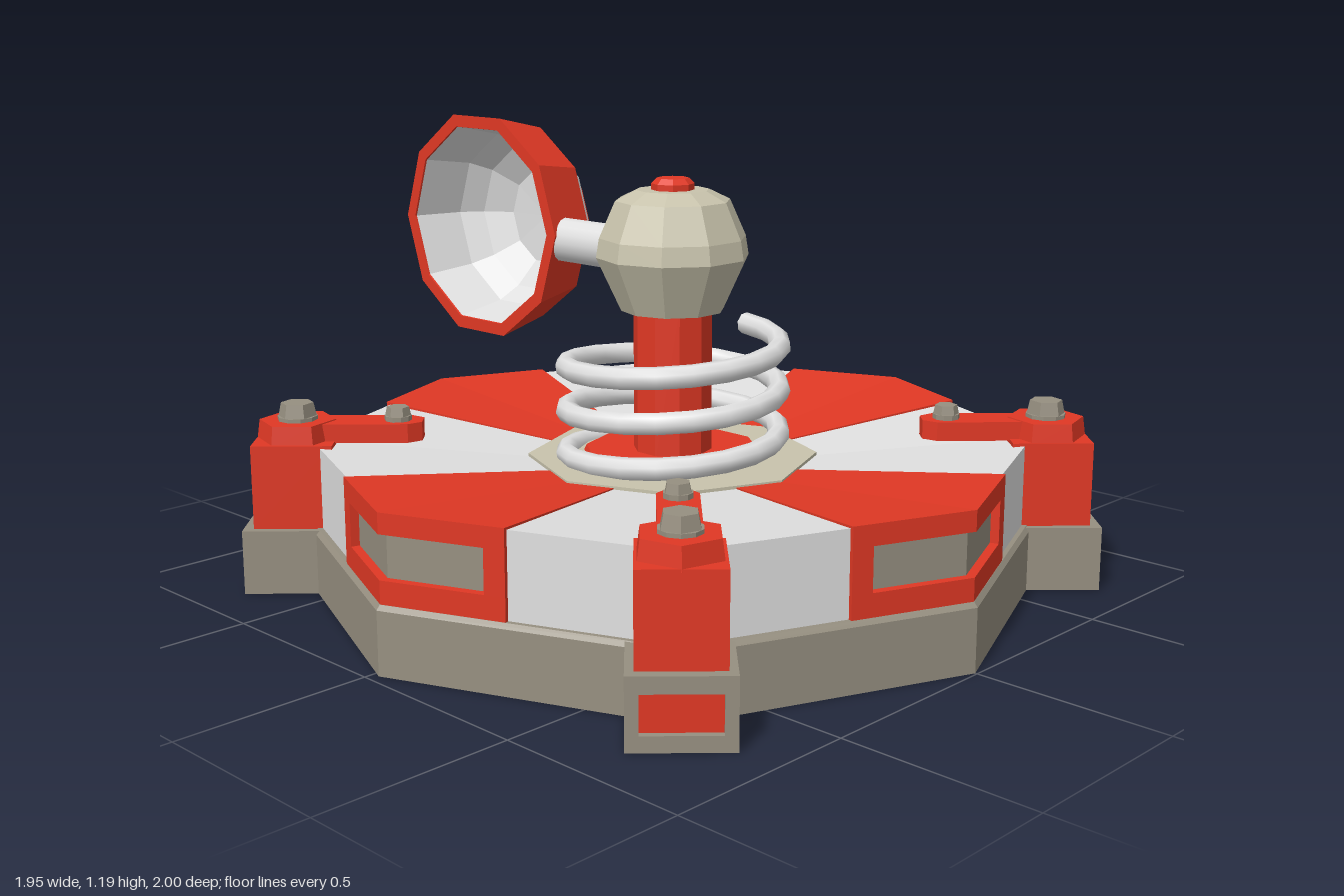
import * as THREE from 'three';

const mat = (name, hex) => {
  const m = new THREE.MeshStandardMaterial({ color: hex });
  m.name = name;
  return m;
};

// Faceted normals
const flat = (g) => {
  const f = g.index ? g.toNonIndexed() : g;
  f.computeVertexNormals();
  return f;
};

const deg = THREE.MathUtils.degToRad;

// Radius of a unit octagon (corner at 0 degrees) in direction a
const octagon = (a) => {
  const local = (((a % 45) + 45) % 45) - 22.5;
  return Math.cos(deg(22.5)) / Math.cos(deg(local));
};

// Sweep a counter-clockwise (radius, height) profile around the octagon
function sweep(angles, profile, capped = true) {
  const pos = [];
  const at = (a, [r, y]) => {
    const k = r * octagon(a);
    return [k * Math.sin(deg(a)), y, k * Math.cos(deg(a))];
  };
  for (let j = 0; j < angles.length - 1; j++) {
    for (let i = 0; i < profile.length; i++) {
      const p = profile[i], q = profile[(i + 1) % profile.length];
      const a = at(angles[j], p), b = at(angles[j + 1], p);
      const c = at(angles[j + 1], q), d = at(angles[j], q);
      pos.push(...a, ...b, ...c, ...a, ...c, ...d);
    }
  }
  if (capped) {
    const first = angles[0], last = angles[angles.length - 1];
    const tris = THREE.ShapeUtils.triangulateShape(profile.map(([x, y]) => new THREE.Vector2(x, y)), []);
    for (const [a, b, c] of tris) {
      pos.push(...at(first, profile[a]), ...at(first, profile[b]), ...at(first, profile[c]));
      pos.push(...at(last, profile[a]), ...at(last, profile[c]), ...at(last, profile[b]));
    }
  }
  const g = new THREE.BufferGeometry();
  g.setAttribute('position', new THREE.Float32BufferAttribute(pos, 3));
  g.computeVertexNormals();
  return g;
}

const lathe = (pts, sides) =>
  flat(new THREE.LatheGeometry(pts.map(([r, y]) => new THREE.Vector2(r, y)), sides));

// Upright prism from y0 to y1
const prism = (rTop, rBottom, y0, y1, sides) =>
  flat(new THREE.CylinderGeometry(rTop, rBottom, y1 - y0, sides).translate(0, (y0 + y1) / 2, 0));

class Coil extends THREE.Curve {
  getPoint(t, target = new THREE.Vector3()) {
    const a = (1 - t) * 5 * Math.PI * 2;
    return target.set(0.28 * Math.cos(a), 0.075 + 0.58 * t, 0.28 * Math.sin(a));
  }
}

export function createModel() {
  const red = mat('red', 0xe03824);
  const white = mat('white', 0xe0e0e0);
  const beige = mat('beige', 0xc8c3ac);
  const grey = mat('grey', 0x968f80);

  const model = new THREE.Group();
  const body = new THREE.Group();
  body.name = 'body';
  body.position.z = 0.02;
  model.add(body);

  const add = (parent, name, geometry, material, x = 0, y = 0, z = 0) => {
    const mesh = new THREE.Mesh(geometry, material);
    mesh.name = name;
    mesh.position.set(x, y, z);
    parent.add(mesh);
    return mesh;
  };

  // Hollow octagonal base ring with a small bevel
  const round = Array.from({ length: 9 }, (_, i) => i * 45);
  add(body, 'baseRing', sweep(round,
    [[0.93, 0], [0.975, 0], [0.975, 0.16], [0.965, 0.172], [0.92, 0.172]], false), grey);

  // Dished top in alternating white and red sectors
  const whitePanel = sweep([19.4, 45, 70.6],
    [[0.92, 0.165], [0.952, 0.165], [0.952, 0.385], [0.3, 0.33], [0.3, 0.31], [0.92, 0.362]]);
  const wide = [-19.4, 0, 19.4];
  const redTop = sweep(wide,
    [[0.915, 0.34], [0.964, 0.34], [0.964, 0.392], [0.3, 0.333], [0.3, 0.308], [0.915, 0.355]]);
  const redSill = sweep(wide, [[0.915, 0.165], [0.964, 0.165], [0.964, 0.23], [0.915, 0.23]]);
  const jambProfile = [[0.915, 0.23], [0.964, 0.23], [0.964, 0.34], [0.915, 0.34]];
  const jambs = [sweep([-19.4, -16], jambProfile), sweep([16, 19.4], jambProfile)];
  const pane = sweep([-16, 0, 16], [[0.928, 0.23], [0.94, 0.23], [0.94, 0.34], [0.928, 0.34]]);

  // Corner parts, built along +z and turned to the diagonals
  const bracketShape = new THREE.Shape();
  bracketShape.moveTo(-0.12, 0).lineTo(0.12, 0).lineTo(0.12, 0.17).lineTo(-0.12, 0.17).closePath();
  const opening = new THREE.Path();
  opening.moveTo(-0.09, 0.038).lineTo(-0.09, 0.13).lineTo(0.09, 0.13).lineTo(0.09, 0.038).closePath();
  bracketShape.holes.push(opening);
  const bracket = new THREE.ExtrudeGeometry(bracketShape, { depth: 0.242, bevelEnabled: false });
  const linkShape = new THREE.Shape([
    [-0.05, -1.0], [0.05, -1.0], [0.05, -0.69], [0.025, -0.655], [-0.025, -0.655], [-0.05, -0.69],
  ].map(([x, y]) => new THREE.Vector2(x, y)));
  const link = new THREE.ExtrudeGeometry(linkShape, { depth: 0.05, bevelEnabled: false }).rotateX(-Math.PI / 2);

  for (let i = 0; i < 4; i++) {
    const sector = new THREE.Group();
    sector.name = 'sector';
    sector.rotation.y = i * Math.PI / 2;
    body.add(sector);
    add(sector, 'whitePanel', whitePanel, white);
    add(sector, 'redPanelTop', redTop, red);
    add(sector, 'redPanelSill', redSill, red);
    jambs.forEach((j) => add(sector, 'redPanelJamb', j, red));
    add(sector, 'windowPane', pane, grey);

    const clamp = new THREE.Group();
    clamp.name = 'cornerClamp';
    clamp.rotation.y = Math.PI / 4 + i * Math.PI / 2;
    body.add(clamp);
    add(clamp, 'bracket', bracket, grey, 0, 0, 0.875);
    add(clamp, 'bracketInsert', new THREE.BoxGeometry(0.18, 0.092, 0.206), red, 0, 0.084, 0.997);
    add(clamp, 'post', new THREE.BoxGeometry(0.2, 0.222, 0.21), red, 0, 0.281, 0.985);
    add(clamp, 'postCap', prism(0.1, 0.108, 0.385, 0.44, 6), red, 0, 0, 0.983);
    add(clamp, 'link', link, red, 0, 0.387, 0);
    for (const [z, r, h] of [[0.983, 0.05, 0.045], [0.72, 0.034, 0.033]]) {
      add(clamp, 'washer', prism(r * 1.05, r * 1.05, 0.435, 0.45, 10), grey, 0, 0, z);
      add(clamp, 'nut', prism(r * 0.85, r, 0.45, 0.44 + h, 6), grey, 0, 0, z);
    }
  }

  // Central drum, spring and pillar
  add(body, 'drum', prism(0.38, 0.38, 0.07, 0.345, 8), beige);
  add(body, 'spring', new THREE.TubeGeometry(new Coil(), 100, 0.029, 8), white);
  add(body, 'pillarFlange', prism(0.23, 0.24, 0.34, 0.36, 10), red);
  add(body, 'pillar', prism(0.103, 0.103, 0.34, 0.75, 10), red);

  // Faceted knob with cap
  const knob = add(body, 'knob', lathe(
    [[0, 0.73], [0.135, 0.73], [0.2, 0.87], [0.192, 0.92], [0.15, 1.015], [0.095, 1.042], [0, 1.042]], 10), beige);
  knob.rotation.y = Math.PI / 2;
  add(body, 'knobCap', lathe([[0, 1.03], [0.056, 1.03], [0.056, 1.058], [0.042, 1.072], [0, 1.072]], 8), red);

  // Side arm
  add(body, 'arm', new THREE.CylinderGeometry(0.06, 0.06, 0.29, 16).rotateX(Math.PI / 2), white, 0, 0.87, -0.27);

  // Open cup facing the right side, its back toward +x
  const cup = new THREE.Group();
  cup.name = 'cup';
  cup.position.set(0, 0.887, -0.7);
  cup.rotation.z = -Math.PI / 2;
  body.add(cup);
  add(cup, 'cupBand', lathe(
    [[0.285, -0.063], [0.32, -0.063], [0.283, 0.098], [0.255, 0.098], [0.285, -0.063]], 10), red);
  add(cup, 'cupShell', lathe([[0.266, 0.09], [0.225, 0.155], [0.15, 0.212], [0, 0.212]], 10), white);
  add(cup, 'cupInside', lathe(
    [[0, 0.195], [0.14, 0.19], [0.215, 0.14], [0.254, 0.08], [0.284, -0.058]], 10), white)
    .geometry.scale(1, 1, 1);
  add(cup, 'cupPlate', lathe([[0, 0.205], [0.158, 0.205], [0.152, 0.222], [0.08, 0.25], [0, 0.25]], 10), red);
  add(cup, 'cupNut', prism(0.032, 0.042, 0.245, 0.288, 6), grey);

  // Inner bowl surface is listed from the bottom out so that it faces the opening
  const inside = cup.getObjectByName('cupInside').geometry;
  inside.computeVertexNormals();

  return model;
}
